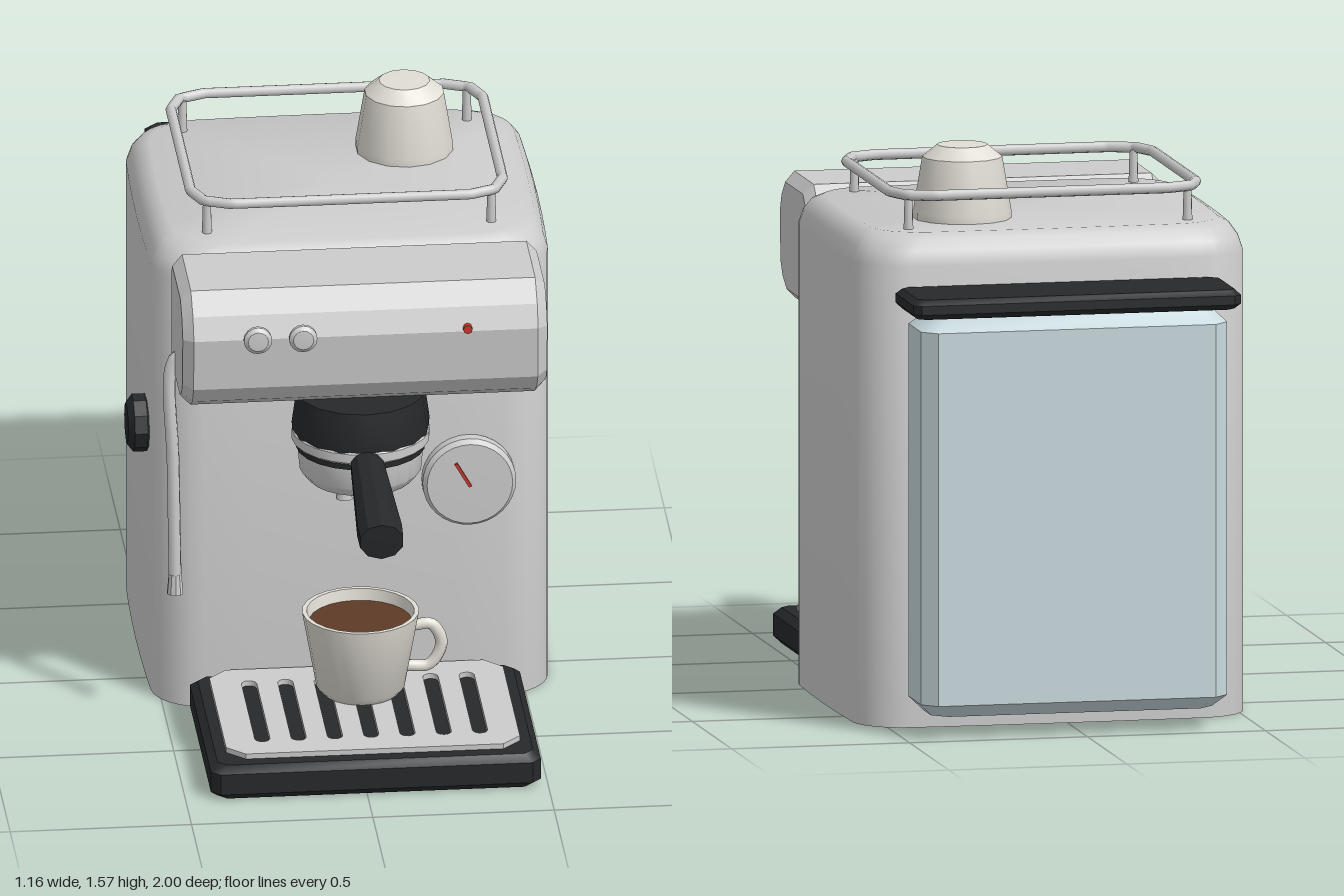
import * as THREE from 'three';
import { toCreasedNormals } from 'three/addons/utils/BufferGeometryUtils.js';

const V3 = (x, y, z) => new THREE.Vector3(x, y, z);
const material = (color) => new THREE.MeshStandardMaterial({ color });
const grey = material(0xcccccc);
const dark = material(0x26282a);
const glass = material(0xc9dade);
const ceramic = material(0xe0ddd4);
const red = material(0xc4362a);
const coffee = material(0x5e3a26);

// Rounded rectangle outline in the ground plane, with optionally bowed sides
function outline(hw, hd, r, seg, bow = 0) {
  const pts = [];
  const corners = [[1, 1], [-1, 1], [-1, -1], [1, -1]];
  corners.forEach(([sx, sz], q) => {
    for (let i = 0; i <= seg; i++) {
      const a = (q + i / seg) * Math.PI / 2;
      pts.push([sx * (hw - r) + r * Math.cos(a), sz * (hd - r) + r * Math.sin(a)]);
    }
    // extra points along the side towards the next corner
    if (bow) {
      const [nx, nz] = corners[(q + 1) % 4];
      const a = (q + 1) * Math.PI / 2, ox = r * Math.cos(a), oz = r * Math.sin(a);
      for (let i = 1; i < 6; i++) {
        const t = i / 6;
        pts.push([(sx + (nx - sx) * t) * (hw - r) + ox, (sz + (nz - sz) * t) * (hd - r) + oz]);
      }
    }
  });
  return pts.map(([x, z]) => [
    x * (1 - bow * (z / hd) ** 2), z * (1 - bow * (x / hw) ** 2),
  ]);
}

// Upright block lofted through [height, inset] levels
function block(hw, hd, r, seg, levels, bow = 0) {
  const pos = [], index = [];
  const rings = levels.map(([, inset]) => outline(hw - inset, hd - inset, r, seg, bow));
  const n = rings[0].length, last = levels.length - 1;
  rings.forEach((ring, k) => ring.forEach(([x, z]) => pos.push(x, levels[k][0], z)));
  pos.push(0, levels[0][0], 0, 0, levels[last][0], 0);
  const low = n * rings.length, high = low + 1;
  for (let i = 0; i < n; i++) {
    const j = (i + 1) % n;
    for (let k = 0; k < last; k++) {
      const a = k * n + i, b = k * n + j;
      index.push(a, a + n, b, b, a + n, b + n);
    }
    index.push(low, i, j, high, last * n + j, last * n + i);
  }
  const g = new THREE.BufferGeometry();
  g.setAttribute('position', new THREE.Float32BufferAttribute(pos, 3));
  g.setIndex(index);
  return toCreasedNormals(g, 0.6);
}

const lathe = (profile, sides = 24, crease = 0.6) => toCreasedNormals(
  new THREE.LatheGeometry(profile.map(([r, y]) => new THREE.Vector2(r, y)), sides), crease);

// Straight-sided path through points, for bent rods
function rod(points, radius, closed = false, sides = 8) {
  const path = new THREE.CatmullRomCurve3(points, closed, 'centripetal');
  return new THREE.TubeGeometry(path, points.length * 6, radius, sides, closed);
}

export function createModel() {
  const model = new THREE.Group();
  model.name = 'espressoMachine';
  const machine = new THREE.Group();
  machine.name = 'machine';
  machine.position.x = 0.025;
  model.add(machine);
  const add = (name, geometry, mat, x = 0, y = 0, z = 0) => {
    const mesh = new THREE.Mesh(geometry, mat);
    mesh.name = name;
    mesh.position.set(x, y, z);
    machine.add(mesh);
    return mesh;
  };

  // Main housing
  add('body', block(0.555, 0.482, 0.13, 6,
    [[0, 0], [1.28, 0], [1.32, 0.012], [1.35, 0.032], [1.365, 0.06]], 0.025), grey, 0, 0, -0.263);

  // Overhanging control head, a side profile extruded across the width
  const b = 0.028;
  const side = new THREE.Shape([[0.475, 1.365], [0.21, 1.365], [0.175, 1.33], [0.175, 1.055], [0.215, 1.015],
    [0.455, 1.015], [0.515, 1.05], [0.545, 1.095], [0.556, 1.255], [0.53, 1.315]].map(([z, y]) =>
    new THREE.Vector2(-(0.365 + (z - 0.365) * 0.85), 1.19 + (y - 1.19) * 0.84)));
  const headGeo = new THREE.ExtrudeGeometry(side, {
    depth: 1.005 - 2 * b, bevelThickness: b, bevelSize: b, bevelSegments: 1,
  });
  headGeo.rotateY(Math.PI / 2).translate(-0.5025 + b, 0, 0);
  add('controlHead', toCreasedNormals(headGeo, 0.3), grey);

  // Head buttons and indicator
  for (const x of [-0.3, -0.175]) {
    const button = add('button', lathe([[0, 0], [0.022, 0], [0.022, 0.02], [0.039, 0.026],
      [0.039, 0.037], [0.028, 0.046], [0, 0.048]], 16), grey, x, 1.255, 0.54);
    button.rotation.x = Math.PI / 2;
  }
  const light = add('indicatorLight', new THREE.CylinderGeometry(0.013, 0.013, 0.03, 8), red, 0.28, 1.258, 0.55);
  light.rotation.x = Math.PI / 2;

  // Rear water tank and lid
  add('waterTank', block(0.43, 0.12, 0.04, 1,
    [[0.06, 0.035], [0.095, 0], [1.13, 0], [1.165, 0.035], [1.18, 0.035]]), glass, 0, 0, -0.863);
  add('tankLid', block(0.46, 0.133, 0.02, 1,
    [[1.17, 0.015], [1.185, 0], [1.21, 0], [1.225, 0.015]]), dark, 0, 0, -0.867);

  // Drip tray with slotted grate
  add('dripTray', block(0.455, 0.32, 0.025, 1,
    [[0, 0.02], [0.02, 0], [0.08, 0], [0.1, 0.02]]), dark, 0, 0, 0.535);
  const plate = new THREE.Shape(outline(0.405, 0.285, 0.05, 1).map(([x, z]) => new THREE.Vector2(x, z)));
  for (let i = -3; i <= 3; i++) {
    const slot = new THREE.Path();
    slot.absarc(i * 0.1, 0.185, 0.021, 0, Math.PI);
    slot.absarc(i * 0.1, -0.185, 0.021, Math.PI, 2 * Math.PI);
    slot.closePath();
    plate.holes.push(slot);
  }
  const grate = new THREE.ExtrudeGeometry(plate, { depth: 0.016, bevelEnabled: false, curveSegments: 4 });
  grate.rotateX(Math.PI / 2);
  add('dripGrate', grate, grey, 0, 0.115, 0.513);

  // Brew group, locking ring and filter basket
  add('brewGroup', lathe([[0, 0.9], [0.188, 0.9], [0.19, 0.93], [0.178, 1.02], [0, 1.02]], 16), dark, 0, 0, 0.4);
  add('lockingRing', lathe([[0, 0.872], [0.183, 0.872], [0.19, 0.879], [0.19, 0.905], [0.183, 0.912], [0, 0.912]]),
    grey, 0, 0, 0.4);
  add('gasket', new THREE.CylinderGeometry(0.178, 0.178, 0.02, 24), dark, 0, 0.864, 0.4);
  add('filterBasket', lathe([[0, 0.762], [0.145, 0.762], [0.168, 0.79], [0.174, 0.857], [0, 0.857]]), grey, 0, 0, 0.4);

  // Handle tilting down towards the front
  const handle = add('filterHandle', lathe([[0, 0], [0.038, 0], [0.042, 0.06], [0.056, 0.39], [0.054, 0.452],
    [0, 0.455]], 10), dark, 0, 0.877, 0.546);
  handle.rotation.x = Math.PI / 2 + 0.12;
  handle.scale.x = 1.15;

  // Twin spouts
  for (const x of [-0.045, 0.045]) {
    add('spout', new THREE.CylinderGeometry(0.015, 0.023, 0.075, 10), grey, x, 0.732, 0.4);
  }

  // Pressure gauge with needle
  const gauge = add('gauge', lathe([[0, 0], [0.129, 0], [0.129, 0.03], [0.118, 0.045], [0, 0.047]], 32),
    grey, 0.315, 0.66, 0.218);
  gauge.rotation.x = Math.PI / 2;
  const needle = add('gaugeNeedle', new THREE.BoxGeometry(0.009, 0.08, 0.008), red, 0.296, 0.689, 0.267);
  needle.rotation.z = 0.52;

  // Steam wand with nozzle
  add('steamWand', rod([V3(-0.44, 1.09, 0.29), V3(-0.49, 1.1, 0.295), V3(-0.513, 1.06, 0.298),
    V3(-0.508, 0.78, 0.312), V3(-0.504, 0.44, 0.327)], 0.018), grey);
  add('steamNozzle', lathe([[0, 0.397], [0.023, 0.397], [0.018, 0.455], [0, 0.457]], 10), grey, -0.504, 0, 0.327);

  // Steam knob on the side
  const knob = add('steamKnob', lathe([[0, 0], [0.068, 0], [0.08, 0.015], [0.08, 0.05], [0.058, 0.067], [0, 0.067]], 10),
    dark, -0.538, 0.76, -0.015);
  knob.rotation.z = Math.PI / 2;

  // Cup rail on four posts
  const railPath = new THREE.CurvePath();
  const railPts = outline(0.43, 0.375, 0.1, 2).map(([x, z]) => V3(x, 1.46, z - 0.268));
  railPts.forEach((p, i) => railPath.add(new THREE.LineCurve3(p, railPts[(i + 1) % railPts.length])));
  add('cupRail', new THREE.TubeGeometry(railPath, 160, 0.015, 8, true), grey);
  for (const x of [-0.392, 0.392]) for (const z of [-0.61, 0.078]) {
    add('railPost', new THREE.CylinderGeometry(0.011, 0.014, 0.1, 8), grey, x, 1.405, z);
  }

  // Upturned cup stored on top
  add('storedCup', lathe([[0, 1.365], [0.135, 1.365], [0.135, 1.385], [0.11, 1.535], [0.07, 1.568], [0, 1.57]], 14),
    ceramic, 0.203, 0, -0.438);

  // Coffee cup on the grate
  add('coffeeCup', lathe([[0, 0.116], [0.105, 0.116], [0.122, 0.135], [0.161, 0.355], [0.148, 0.355],
    [0.112, 0.145], [0, 0.14]]), ceramic, 0, 0, 0.4);
  add('coffee', new THREE.CylinderGeometry(0.142, 0.138, 0.012, 24), coffee, 0, 0.316, 0.4);
  add('cupHandle', rod([V3(0.145, 0.305, 0.4), V3(0.195, 0.306, 0.4), V3(0.223, 0.25, 0.4),
    V3(0.19, 0.187, 0.4), V3(0.125, 0.185, 0.4)], 0.017), ceramic);

  return model;
}
